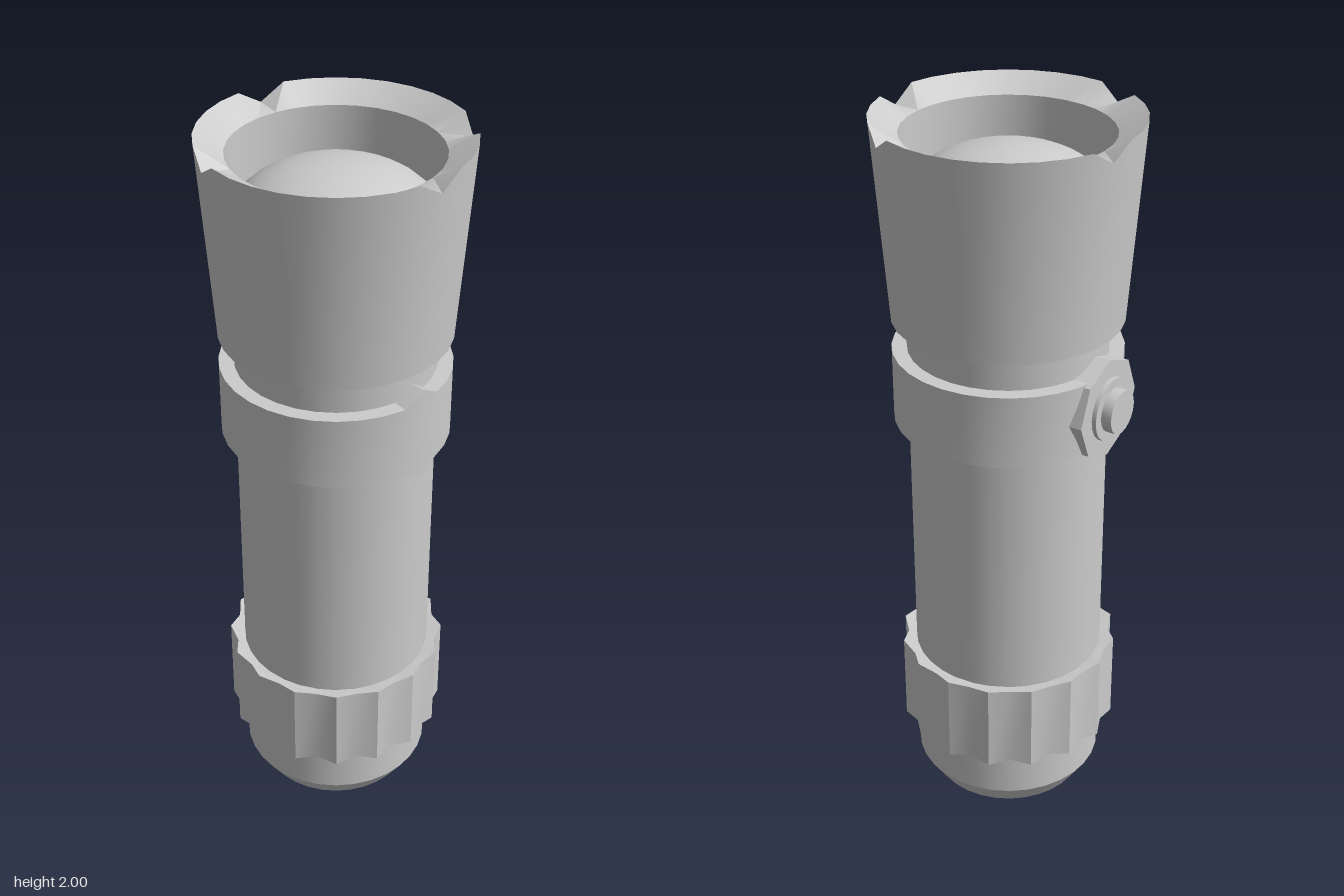
import * as THREE from 'three';
import { toCreasedNormals } from 'three/addons/utils/BufferGeometryUtils.js';

const SEG = 32;
const material = new THREE.MeshStandardMaterial({ color: 0xcccccc });

function addMesh(group, name, geometry) {
  const mesh = new THREE.Mesh(toCreasedNormals(geometry, 0.5), material);
  mesh.name = name;
  group.add(mesh);
  return mesh;
}

// Skins a list of rings around y; each ring is [radius, height] or a rule of the segment index
function loft(rings) {
  const positions = [], index = [];
  rings.forEach((ring, j) => {
    for (let i = 0; i < SEG; i++) {
      const [r, y] = typeof ring === 'function' ? ring(i) : ring;
      const a = (i / SEG) * Math.PI * 2;
      positions.push(r * Math.cos(a), y, r * Math.sin(a));
      if (j === 0) continue;
      const n = (i + 1) % SEG, lo = (j - 1) * SEG, hi = j * SEG;
      index.push(lo + i, hi + i, lo + n, lo + n, hi + i, hi + n);
    }
  });
  const geometry = new THREE.BufferGeometry();
  geometry.setAttribute('position', new THREE.Float32BufferAttribute(positions, 3));
  geometry.setIndex(index);
  return geometry;
}

// Cylinder lying along x, from x0 outwards to x1 on the -x side
function sideDisc(radius, x0, x1, y, sides) {
  const g = new THREE.CylinderGeometry(radius, radius, x0 - x1, sides);
  g.rotateZ(Math.PI / 2);
  g.translate((x0 + x1) / 2, y, 0);
  return g;
}

export function createModel() {
  const model = new THREE.Group();
  model.name = 'flashlight';

  // Barrel with chamfered foot and recessed base
  addMesh(model, 'barrel', loft([
    [0.001, 0.045], [0.165, 0.045], [0.165, 0], [0.22, 0], [0.265, 0.07], [0.265, 1.5],
  ]));

  // Fluted grip ring: alternating ridges and grooves
  const flute = (yMid, dir) => (i) => (i % 2 ? [0.288, yMid + dir * 0.122] : [0.306, yMid + dir * 0.13]);
  addMesh(model, 'gripRing', loft([
    [0.262, 0.21], flute(0.33, -1), flute(0.33, 1), [0.262, 0.45],
  ]));

  // Collar band with a small point above and below on the +x side
  const yBand = 1.28;
  const collarEdge = (r, dir) => (i) => [r, yBand + dir * (i === 0 ? 0.135 : 0.1)];
  addMesh(model, 'collar', loft([
    collarEdge(0.262, -1), collarEdge(0.305, -1), collarEdge(0.305, 1), collarEdge(0.262, 1),
  ]));

  // Push switch on its octagonal plate
  const yButton = 1.277;
  addMesh(model, 'switchPlate', sideDisc(0.137, -0.235, -0.306, yButton, 8));
  addMesh(model, 'switchCollar', sideDisc(0.085, -0.3, -0.318, yButton, 20));
  addMesh(model, 'switchButton', sideDisc(0.059, -0.31, -0.347, yButton, 20));

  // Flared head with four nicks in the rim and a hollow mouth
  const nicks = [0, 10, 17, 27];
  addMesh(model, 'head', loft([
    [0.26, 1.47], [0.305, 1.47],
    (i) => (nicks.includes(i) ? [0.34, 1.96] : [0.343, 2]),
    [0.27, 1.957], [0.27, 1.74],
  ]));

  // Domed lens inside the mouth
  const lens = new THREE.SphereGeometry(0.27, SEG, 10, 0, Math.PI * 2, 0, Math.PI / 2);
  lens.scale(1, 0.56, 1);
  lens.translate(0, 1.765, 0);
  addMesh(model, 'lens', lens);

  return model;
}
